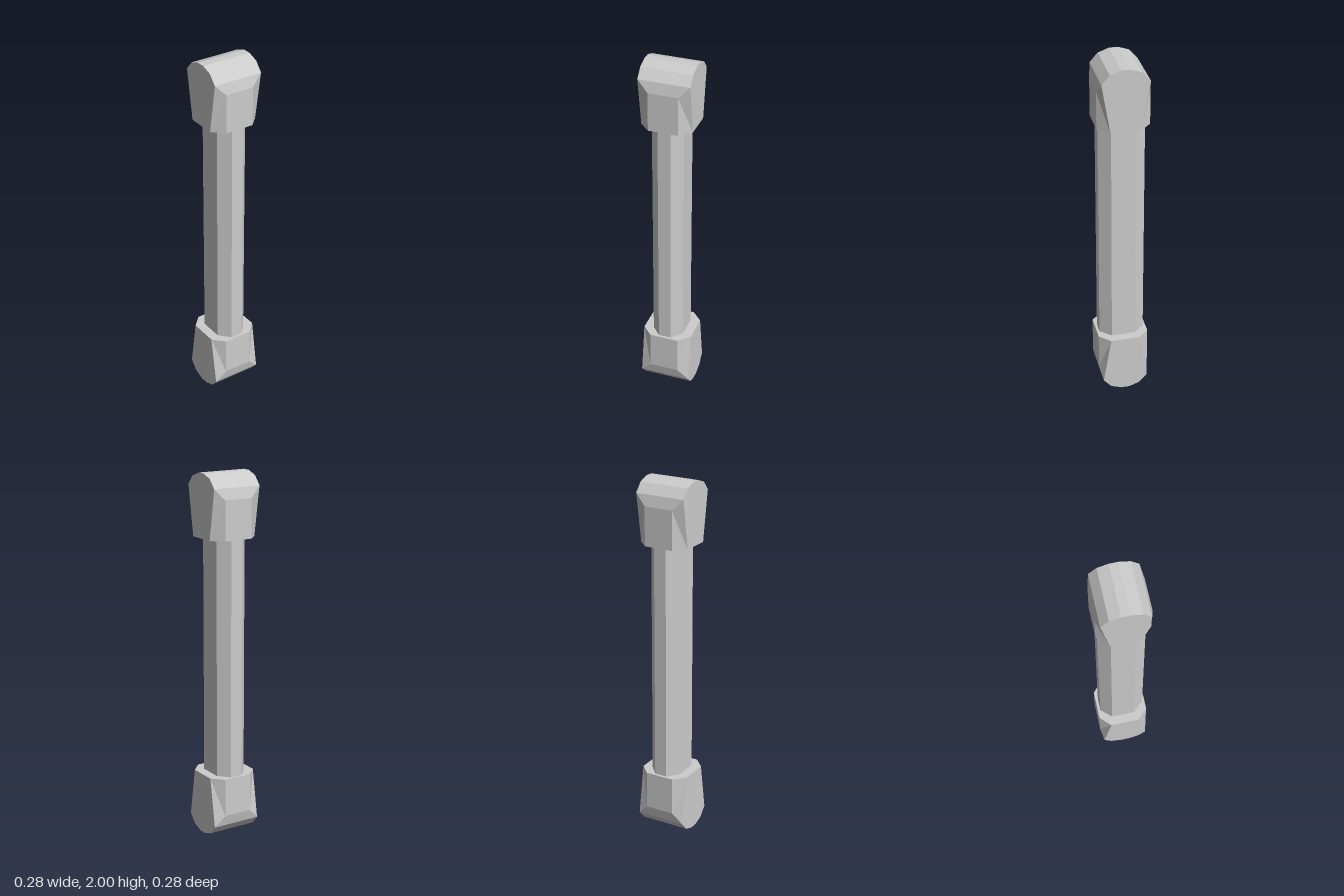
import * as THREE from 'three';

const BASE = 1.657; // height of the upper cap's flat underside

// Quarter of the end cap (x >= 0, z >= 0), mirrored four ways
function capGeometry() {
  const w = 0.14, n = 0.081, d = 0.141;
  const A = [w, BASE, 0.081], B = [w, 1.93, 0.126];
  const C = [n, BASE, d], D = [n, 1.87, d];
  const P = [w, 1.979, 0.083], Q = [w, 2, 0.024], T = [w, 2, 0], S = [w, BASE, 0];
  const mid = ([, y, z]) => [0, y, z]; // same point on the centre plane
  const strip = (lo, hi) => [mid(lo), lo, hi, mid(hi)];
  const faces = [
    strip(C, D), strip(D, B),                  // flat face and its bevel
    strip(B, P), strip(P, Q), strip(Q, T),     // rounded crown
    [S, T, Q, P, B, A],                        // side
    [C, A, D], [A, B, D],                      // folded corner
    [mid(S), S, A, C, mid(C)],                 // underside
  ];
  const pos = [];
  for (const sx of [1, -1]) for (const sz of [1, -1]) {
    for (const f of faces) {
      for (let i = 1; i < f.length - 1; i++) {
        const tri = sx * sz > 0 ? [f[0], f[i], f[i + 1]] : [f[0], f[i + 1], f[i]];
        for (const [x, y, z] of tri) pos.push(x * sx, y, z * sz);
      }
    }
  }
  const geo = new THREE.BufferGeometry();
  geo.setAttribute('position', new THREE.Float32BufferAttribute(pos, 3));
  geo.computeVertexNormals();
  return geo;
}

// Eight-sided bar, deeper than it is wide
function shaftGeometry() {
  const x = 0.088, xi = 0.035, z = 0.126, zi = 0.066;
  const shape = new THREE.Shape([
    [x, -zi], [x, zi], [xi, z], [-xi, z], [-x, zi], [-x, -zi], [-xi, -z], [xi, -z],
  ].map(([a, b]) => new THREE.Vector2(a, b)));
  const geo = new THREE.ExtrudeGeometry(shape, { depth: 2 * BASE - 2, bevelEnabled: false });
  geo.rotateX(-Math.PI / 2);
  geo.translate(0, 2 - BASE, 0);
  return geo;
}

export function createModel() {
  const group = new THREE.Group();
  group.name = 'strut';
  const grey = new THREE.MeshStandardMaterial({ color: 0xcccccc });
  grey.name = 'light grey';
  grey.flatShading = true;

  const add = (name, geo) => {
    const mesh = new THREE.Mesh(geo, grey);
    mesh.name = name;
    group.add(mesh);
    return mesh;
  };

  add('shaft', shaftGeometry());
  const cap = capGeometry();
  add('upperCap', cap);

  // Lower cap is the upper one turned upside down
  const lower = add('lowerCap', cap);
  lower.rotation.x = Math.PI;
  lower.position.y = 2;

  return group;
}
